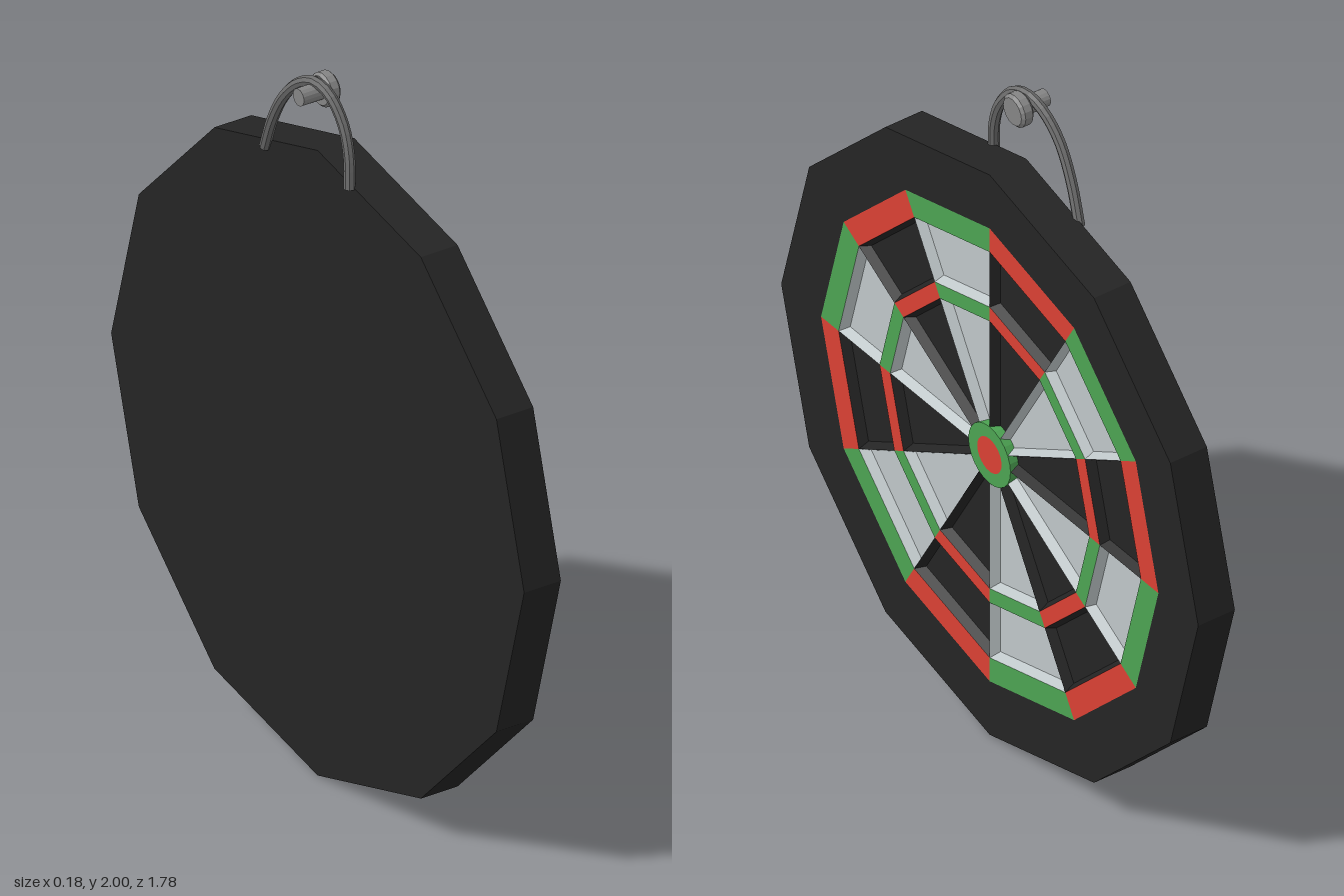
import * as THREE from 'three';

const BACK = -0.03, FACE = 0.085, DEPTH = 0.025, INSET = 0.012;
const STEP = Math.PI / 6, HALF = STEP / 2;

const paint = (color) => new THREE.MeshStandardMaterial({ color, flatShading: true });
const black = paint(0x242424), pale = paint(0xbfc7c9), red = paint(0xdb4034), green = paint(0x4ca352);
const metal = paint(0x858585), wire = paint(0x6c6c6c);

function add(parent, name, geometry, material) {
  const mesh = new THREE.Mesh(geometry, material);
  mesh.name = name;
  parent.add(mesh);
  return mesh;
}

// Turned part whose axis runs along x; profile is [radius, x] pairs
function turned(profile, sides) {
  const points = profile.map(([r, x]) => new THREE.Vector2(r, x));
  return new THREE.LatheGeometry(points, sides).rotateZ(-Math.PI / 2);
}

// Four corners of a ring segment pointing up, pulled in by d, at a given x
function corners(r0, r1, d, x) {
  const u0 = r0 * Math.cos(HALF) + d, u1 = r1 * Math.cos(HALF) - d;
  const width = (u) => u * Math.tan(HALF) - d / Math.cos(HALF);
  return [[x, u0, width(u0)], [x, u0, -width(u0)], [x, u1, -width(u1)], [x, u1, width(u1)]];
}

function quads(list) {
  const positions = list.flatMap(([a, b, c, d]) => [a, b, c, a, c, d]).flat();
  const geometry = new THREE.BufferGeometry();
  geometry.setAttribute('position', new THREE.Float32BufferAttribute(positions, 3));
  geometry.computeVertexNormals();
  return geometry;
}

// Flush coloured band of one sector
const band = (r0, r1) => quads([corners(r0, r1, 0, FACE)]);

// Sunken field of one sector with sloping walls
function pit(r0, r1) {
  const rim = corners(r0, r1, 0, FACE), floor = corners(r0, r1, INSET, FACE - DEPTH);
  const walls = rim.map((p, i) => {
    const j = (i + 1) % 4;
    return [p, rim[j], floor[j], floor[i]];
  });
  return quads([floor, ...walls]);
}

export function createModel() {
  const model = new THREE.Group();
  model.name = 'dartboard';

  const board = new THREE.Group();
  board.name = 'board';
  board.position.y = 0.894;
  model.add(board);

  // Twelve-sided back, edge and front rim
  add(board, 'rim', turned([[0, BACK], [0.89, BACK], [0.89, FACE], [0.72, FACE]], 12), black);

  // Scoring sectors, clockwise from the top
  const outerBand = band(0.645, 0.72), outerField = pit(0.47, 0.645);
  const innerBand = band(0.425, 0.47), innerField = pit(0.075, 0.425);
  for (let i = 0; i < 12; i++) {
    const sector = new THREE.Group();
    sector.name = 'sector' + (i + 1);
    sector.rotation.x = -(i + 0.5) * STEP;
    const bright = i % 2 ? green : red, field = i % 2 ? pale : black;
    add(sector, 'outerBand', outerBand, bright);
    add(sector, 'outerField', outerField, field);
    add(sector, 'innerBand', innerBand, bright);
    add(sector, 'innerField', innerField, field);
    board.add(sector);
  }

  // Centre rings
  add(board, 'centreRing', turned([[0.09, FACE - DEPTH], [0.09, FACE + 0.001], [0.052, FACE + 0.001]], 24), green);
  add(board, 'centreSpot', turned([[0.052, FACE + 0.001], [0, FACE + 0.001]], 24), red);

  // Hanging wire looped over the nail
  const path = new THREE.CatmullRomCurve3([
    [-0.034, 1.705, -0.222], [-0.045, 1.81, -0.172], [-0.05, 1.9, -0.115], [-0.045, 1.96, -0.055],
    [-0.038, 1.982, 0], [-0.032, 1.965, 0.055], [-0.026, 1.9, 0.105], [-0.028, 1.82, 0.133], [-0.034, 1.735, 0.143],
  ].map((p) => new THREE.Vector3(...p)));
  add(model, 'hangingWire', new THREE.TubeGeometry(path, 28, 0.015, 8), wire);

  // Nail with a bevelled head
  const nail = turned([
    [0, -0.09], [0.024, -0.09], [0.024, -0.024], [0.04, -0.024], [0.047, -0.017],
    [0.047, 0.006], [0.039, 0.014], [0, 0.014],
  ], 16);
  add(model, 'nail', nail, metal).position.y = 1.953;

  return model;
}
